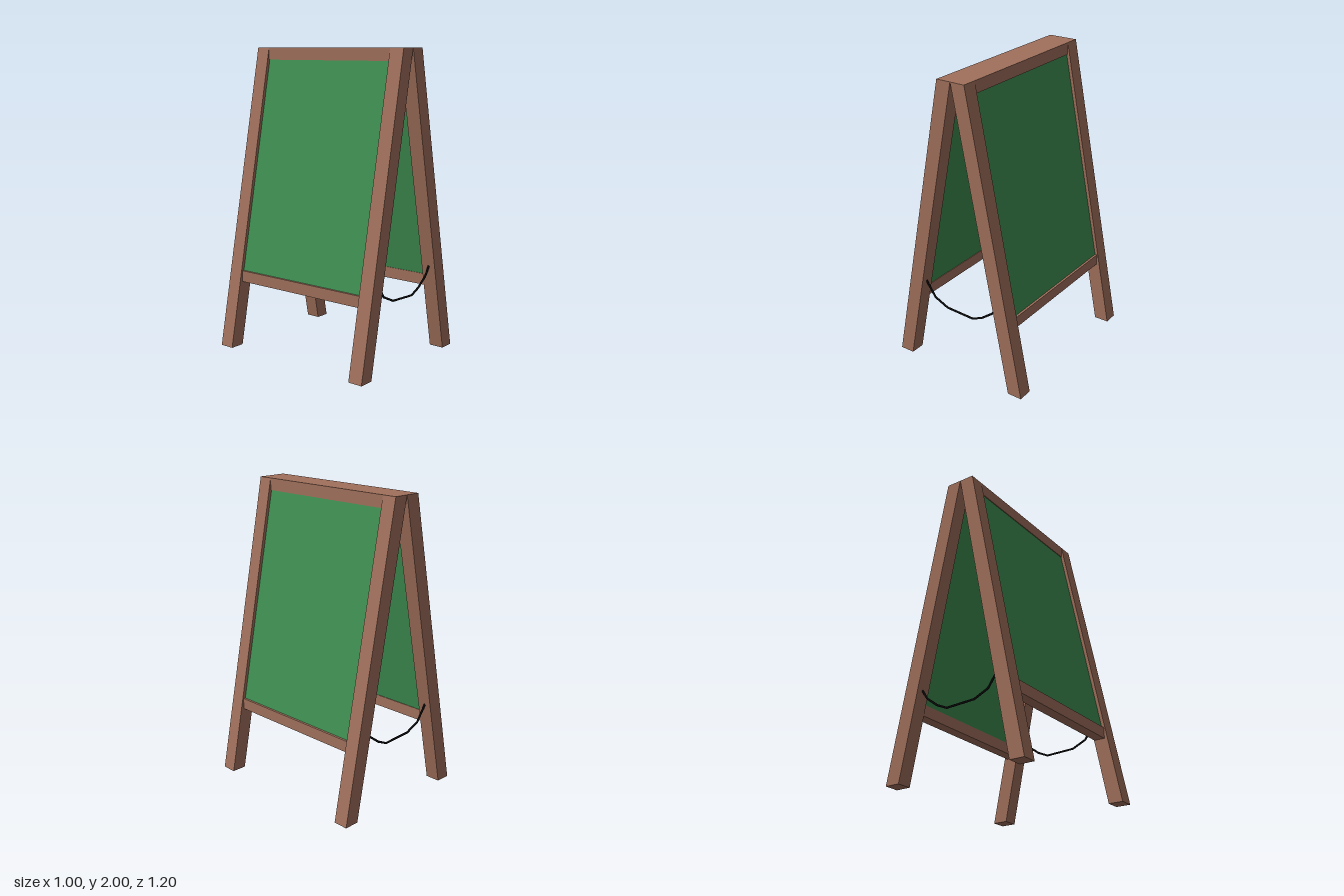
import * as THREE from 'three';

export function createModel() {
  const wood = new THREE.MeshStandardMaterial({ color: 0xa1705c });
  const green = new THREE.MeshStandardMaterial({ color: 0x3f8f52 });
  const black = new THREE.MeshStandardMaterial({ color: 0x0a0a0a });
  const group = new THREE.Group();
  const LEAN = 0.2; // inward shift per unit of height

  function add(name, geometry, material) {
    const mesh = new THREE.Mesh(geometry, material);
    mesh.name = name;
    group.add(mesh);
    return mesh;
  }

  // Leaning slab: a parallelogram in x/y extruded along z; x0 and x1 are taken at ground level
  function slab(name, side, x0, x1, y0, y1, z0, z1, material) {
    const at = (x, y) => new THREE.Vector2(side * (x - LEAN * y), y);
    const shape = new THREE.Shape([at(x0, y0), at(x1, y0), at(x1, y1), at(x0, y1)]);
    const geo = new THREE.ExtrudeGeometry(shape, { depth: z1 - z0, bevelEnabled: false });
    geo.translate(0, 0, z0);
    return add(name, geo, material);
  }

  function box(name, x0, x1, y0, y1, z0, z1) {
    const geo = new THREE.BoxGeometry(x1 - x0, y1 - y0, z1 - z0);
    geo.translate((x0 + x1) / 2, (y0 + y1) / 2, (z0 + z1) / 2);
    return add(name, geo, wood);
  }

  for (const side of [1, -1]) {
    const label = side > 0 ? 'left' : 'right';
    // Legs at both ends of each frame
    slab(label + 'FrontLeg', side, 0.4, 0.5, 0, 2, 0.5, 0.6, wood);
    slab(label + 'BackLeg', side, 0.4, 0.5, 0, 2, -0.6, -0.5, wood);
    // Writing board set between the legs
    slab(label + 'Board', side, 0.422, 0.478, 0.5, 1.93, -0.5, 0.5, green);
    // Rail under the board
    const rail = [side * 0.315, side * 0.39].sort((a, b) => a - b);
    box(label + 'BottomRail', rail[0], rail[1], 0.44, 0.515, -0.5, 0.5);
  }

  // Shared top rail
  box('topRail', -0.1, 0.1, 1.92, 2, -0.5, 0.5);

  // Sagging cords with straight runs between their bends
  const bends = [[-0.29, 0.587], [-0.215, 0.48], [-0.115, 0.435], [0.09, 0.426],
    [0.165, 0.46], [0.245, 0.52], [0.29, 0.587]];
  for (const z of [0.553, -0.553]) {
    const path = new THREE.CatmullRomCurve3(
      bends.map(([x, y]) => new THREE.Vector3(x, y, z)), false, 'catmullrom', 0);
    path.getPointAt = path.getPoint;
    path.getTangentAt = path.getTangent;
    add(z > 0 ? 'frontCord' : 'backCord',
      new THREE.TubeGeometry(path, bends.length - 1, 0.007, 8), black);
  }
  return group;
}
